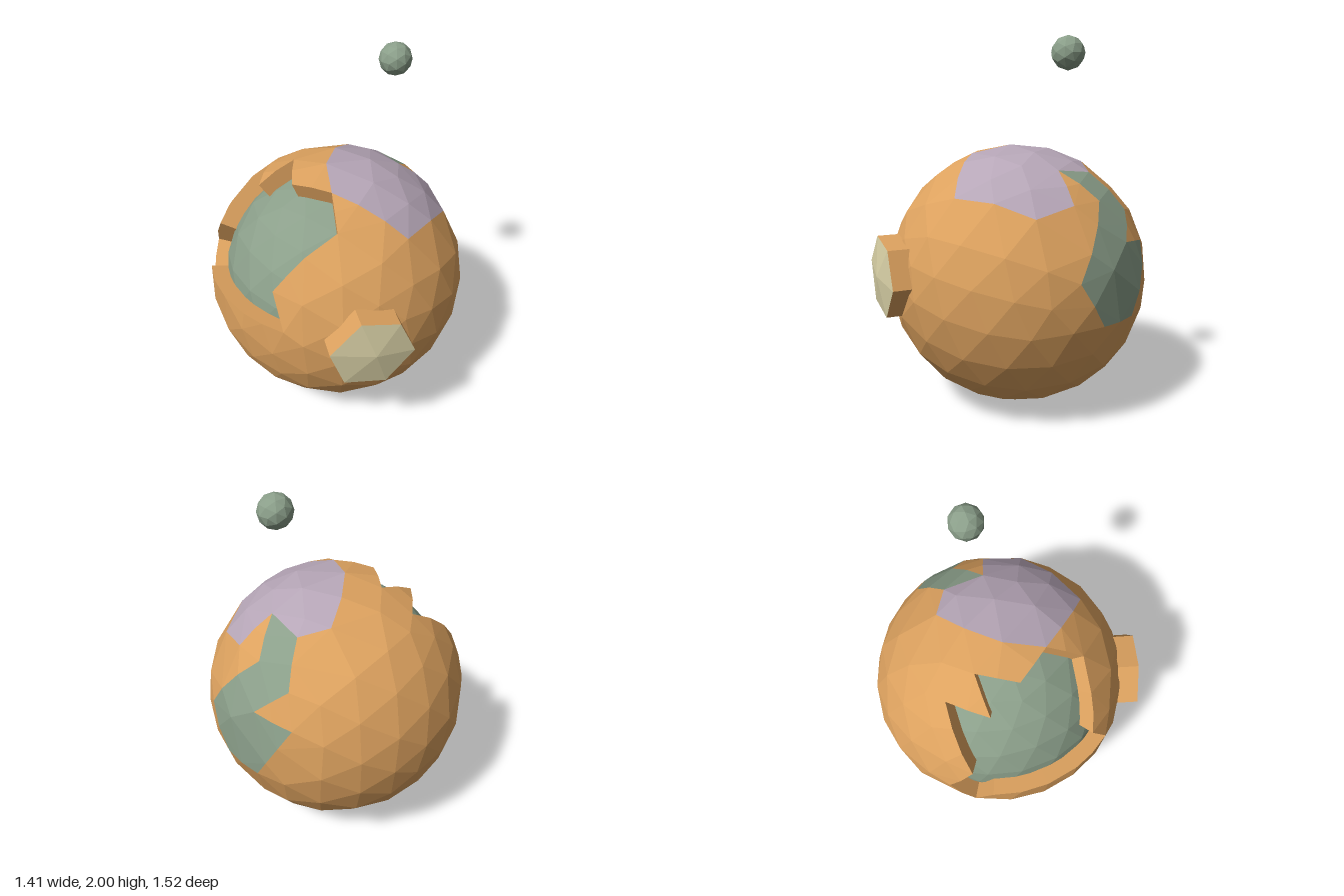
import * as THREE from 'three';
import { ConvexGeometry } from 'three/addons/geometries/ConvexGeometry.js';

const R = 0.717, CORE = 0.88;
const CENTER = new THREE.Vector3(0, R, -0.04);
const V = (x, y, z) => new THREE.Vector3(x, y, z);

const material = (color) => new THREE.MeshStandardMaterial({ color, flatShading: true, side: THREE.DoubleSide });
const crustMat = material(0xdda25f);
const greenMat = material(0x8b9f8a);
const lilacMat = material(0xb6a6b7);
const creamMat = material(0xd9d1a6);

// Mesh from a flat list of triangle corners
function triMesh(name, corners, mat) {
  const g = new THREE.BufferGeometry().setFromPoints(corners);
  g.computeVertexNormals();
  const m = new THREE.Mesh(g, mat);
  m.name = name;
  return m;
}

// Points on the globe (relative to its centre) from a top, side or full position
const onGlobe = (p) => p.setLength(R);
const fromTop = ([x, z]) => {
  const dz = z - CENTER.z;
  return onGlobe(V(x, Math.sqrt(R * R - x * x - dz * dz), dz));
};
const fromSide = ([z, y]) => {
  const dz = z - CENTER.z, dy = y - CENTER.y;
  return onGlobe(V(Math.sqrt(R * R - dy * dy - dz * dz), dy, dz));
};
const fromSpace = (p) => onGlobe(V(...p).sub(CENTER));

// Split each outline edge into short steps along the globe
function refine(outline) {
  const out = [];
  outline.forEach((a, i) => {
    const b = outline[(i + 1) % outline.length];
    const n = Math.max(1, Math.round(a.distanceTo(b) / 0.15));
    for (let k = 0; k < n; k++) out.push(onGlobe(a.clone().lerp(b, k / n)));
  });
  return out;
}

// Test for a point inside an outline, projected onto a tangent plane
function insideTest(outline) {
  const axis = outline.reduce((s, p) => s.add(p), V(0, 0, 0)).normalize();
  const turn = new THREE.Quaternion().setFromUnitVectors(axis, V(0, 0, 1));
  const flat = (p) => {
    const q = p.clone().applyQuaternion(turn);
    return [q.x / q.z, q.y / q.z];
  };
  const poly = outline.map(flat);
  return (p) => {
    if (p.dot(axis) <= 0.05) return false;
    const [x, y] = flat(p);
    let inside = false;
    poly.forEach(([ax, ay], i) => {
      const [bx, by] = poly[(i + 1) % poly.length];
      if ((ay > y) !== (by > y) && x < ax + ((y - ay) * (bx - ax)) / (by - ay)) inside = !inside;
    });
    return inside;
  };
}

function buildGlobe() {
  const globe = new THREE.Group();
  globe.name = 'globe';

  // Outline of the broken opening in the crust
  const hole = refine([
    [-0.2, 1.29, -0.4], [-0.365, 1.3, -0.225], [-0.15, 1.39, -0.225], [-0.27, 1.37, -0.03],
    [-0.15, 1.385, 0.16], [-0.23, 1.275, 0.34], [-0.42, 1.2, 0.33], [-0.58, 1.02, 0.28],
    [-0.58, 0.82, 0.38], [-0.69, 0.83, 0.15], [-0.71, 0.83, -0.03], [-0.65, 0.81, -0.33],
    [-0.6, 0.645, -0.42], [-0.51, 0.82, -0.53], [-0.54, 1.02, -0.4],
  ].map(fromSpace));

  // Coloured patches on the crust
  const topPatch = refine([
    [0.1, 0.48], [-0.15, 0.16], [-0.06, -0.04], [0.09, -0.19], [0.24, -0.29],
    [0.38, -0.2], [0.37, 0.02], [0.54, 0.08], [0.49, 0.29], [0.31, 0.4],
  ].map(fromTop));
  const sidePatch = refine([
    [0.02, 1.33], [-0.2, 1.3], [-0.32, 1.11], [-0.19, 0.97], [-0.4, 0.94],
    [-0.22, 0.58], [0.02, 0.58], [0.17, 0.82], [-0.1, 1.18],
  ].map(fromSide));
  const low = V(-0.286, -0.43, -0.497).normalize();
  const tx = V(0, 1, 0).cross(low).normalize(), ty = low.clone().cross(tx);
  const lowPatch = refine([0, 1, 2, 3, 4, 5].map((i) => {
    const a = (i * Math.PI) / 3;
    return onGlobe(low.clone().multiplyScalar(R)
      .addScaledVector(tx, 0.2 * Math.cos(a)).addScaledVector(ty, 0.2 * Math.sin(a)));
  }));

  // Globe lattice, cleared around the outlines so the facets follow them
  const points = [];
  const add = (p, gap) => { if (points.every((q) => q.distanceTo(p) > gap)) points.push(p); };
  [hole, topPatch, sidePatch, lowPatch].forEach((o) => o.forEach((p) => add(p, 0.025)));
  const edgeCount = points.length;
  const ball = new THREE.IcosahedronGeometry(R, 3).rotateX(0.35).rotateZ(0.2).attributes.position;
  for (let i = 0; i < ball.count; i++) {
    const p = V(0, 0, 0).fromBufferAttribute(ball, i);
    if (points.slice(0, edgeCount).every((q) => q.distanceTo(p) > 0.105)) add(p, 0.01);
  }

  // Sort the facets into crust and patches, leaving the opening empty
  const regions = [
    { test: insideTest(hole) },
    { name: 'topPatch', test: insideTest(topPatch), mat: lilacMat, tris: [] },
    { name: 'sidePatch', test: insideTest(sidePatch), mat: greenMat, tris: [] },
    { name: 'lowerPatch', test: insideTest(lowPatch), mat: lilacMat, tris: [] },
    { name: 'crust', test: () => true, mat: crustMat, tris: [] },
  ];
  const hull = new ConvexGeometry(points).attributes.position;
  for (let i = 0; i < hull.count; i += 3) {
    const t = [0, 1, 2].map((k) => V(0, 0, 0).fromBufferAttribute(hull, i + k));
    const mid = t[0].clone().add(t[1]).add(t[2]).divideScalar(3);
    const region = regions.find((r) => r.test(mid));
    if (region.tris) region.tris.push(...t);
  }
  regions.filter((r) => r.tris).forEach((r) => globe.add(triMesh(r.name, r.tris, r.mat)));

  // Thickness of the crust around the opening
  const rim = [];
  hole.forEach((a, i) => {
    const b = hole[(i + 1) % hole.length];
    const a2 = a.clone().multiplyScalar(CORE - 0.03), b2 = b.clone().multiplyScalar(CORE - 0.03);
    rim.push(a, a2, b, b, a2, b2);
  });
  globe.add(triMesh('crustRim', rim, crustMat));

  const core = new THREE.Mesh(new THREE.IcosahedronGeometry(R * CORE, 3), greenMat);
  core.name = 'core';
  globe.add(core);
  globe.position.copy(CENTER);
  return globe;
}

// Raised six-sided plate on the front with a shallow domed face
function buildPlate() {
  const plate = new THREE.Group();
  plate.name = 'frontPlate';
  const rim = [[-0.31, 0.975], [-0.12, 0.935], [-0.04, 0.745], [-0.18, 0.565], [-0.39, 0.605], [-0.46, 0.81]]
    .map(([x, y]) => V(x, y, 0.765 + (x + 0.04) * 0.32));
  const tip = V(-0.25, 0.775, 0.73);
  const depth = V(0.036, 0, -0.11);
  const face = [], sides = [];
  rim.forEach((a, i) => {
    const b = rim[(i + 1) % rim.length];
    const a2 = a.clone().add(depth), b2 = b.clone().add(depth);
    face.push(tip, b, a);
    sides.push(a, b, a2, b, b2, a2);
  });
  plate.add(triMesh('plateFace', face, creamMat), triMesh('plateSides', sides, crustMat));
  return plate;
}

export function createModel() {
  const model = new THREE.Group();
  model.name = 'planet';
  const moon = new THREE.Mesh(new THREE.IcosahedronGeometry(0.087, 1), greenMat);
  moon.name = 'moon';
  moon.position.set(0.365, 1.913, -0.045);
  model.add(buildGlobe(), buildPlate(), moon);
  return model;
}
